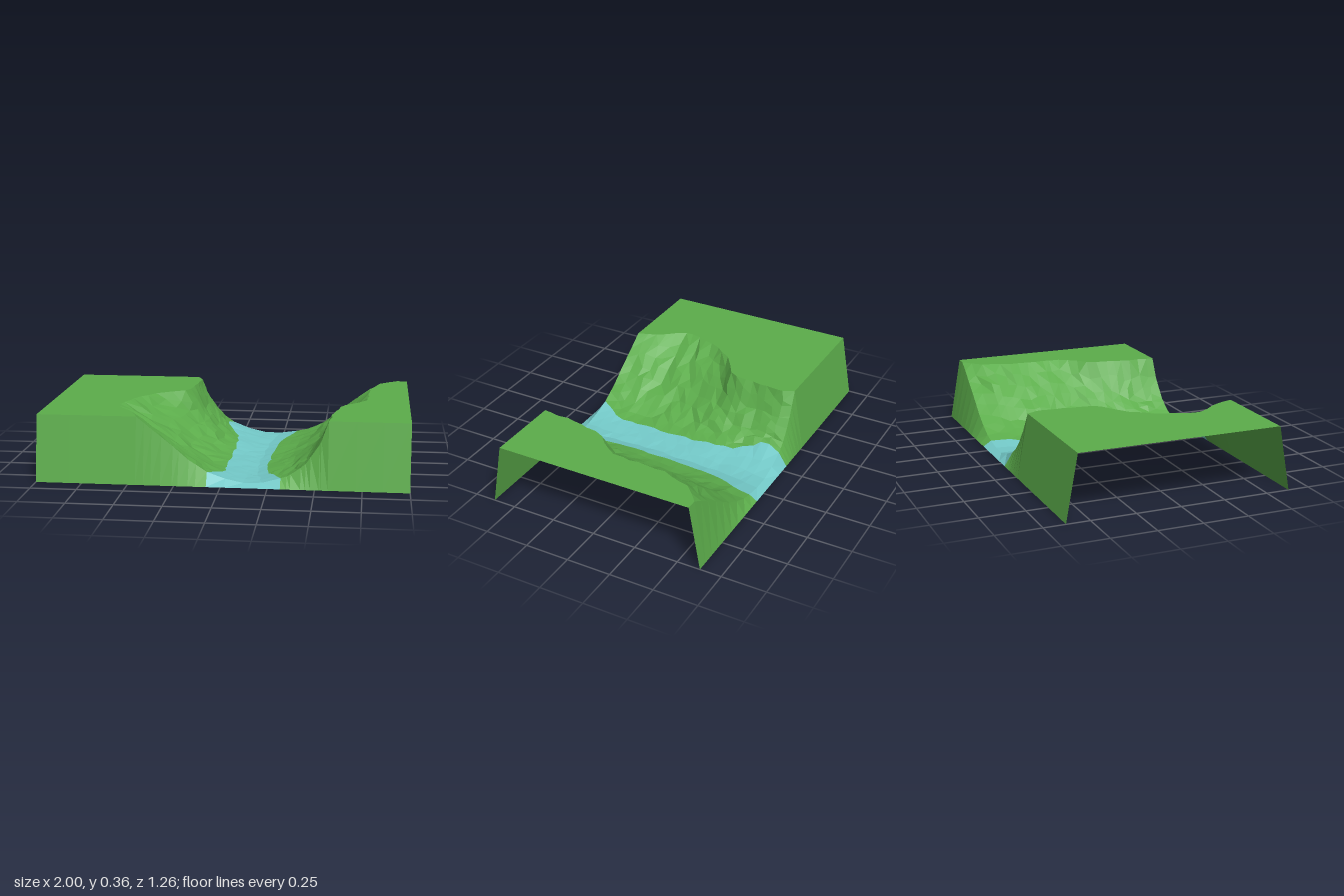
import * as THREE from 'three';

const TOP = 0.36, EDGE_Z = 0.63, END_Z = 0.565, BED_X = 0.17;

// Outlines seen from above, as [z, x] points
const leftRim = [[-0.57, -0.27], [-0.53, -0.25], [-0.45, -0.25], [-0.22, -0.26], [-0.12, -0.32], [-0.08, -0.42],
  [0.02, -0.51], [0.1, -0.56], [0.3, -0.61], [0.4, -0.53], [0.5, -0.48], [0.57, -0.46]];
const rightRim = [[-0.57, 0.94], [-0.54, 0.91], [-0.46, 0.83], [-0.3, 0.78], [-0.15, 0.77], [0, 0.77],
  [0.09, 0.7], [0.2, 0.62], [0.38, 0.58], [0.57, 0.575]];
const leftShore = [[-0.57, -0.05], [-0.5, -0.08], [-0.42, -0.06], [-0.32, 0], [-0.1, 0.01], [0.2, 0], [0.45, 0], [0.57, -0.08]];
const rightShore = [[-0.57, 0.335], [-0.5, 0.32], [-0.35, 0.26], [-0.2, 0.235], [0.2, 0.22], [0.42, 0.24], [0.57, 0.32]];

// Bank profiles from river bed (0) to rim (1), for narrow and wide banks
const narrowBank = [[0, 0], [0.2, 0.06], [0.4, 0.13], [0.52, 0.19], [0.7, 0.36], [0.88, 0.67], [1, 1]];
const wideBank = [[0, 0], [0.2, 0.06], [0.34, 0.13], [0.46, 0.25], [0.58, 0.41], [0.75, 0.66], [1, 1]];

function at(line, z) {
  for (let i = 1; i < line.length; i++) {
    const [z0, x0] = line[i - 1], [z1, x1] = line[i];
    if (z <= z1) return x0 + (x1 - x0) * (z - z0) / (z1 - z0);
  }
  return line[line.length - 1][1];
}

function randomizer(seed) {
  return () => {
    seed = (seed * 16807) % 2147483647;
    return seed / 2147483647 * 2 - 1;
  };
}

function height(x, rim) {
  const wide = THREE.MathUtils.clamp((Math.abs(rim - BED_X) - 0.42) / 0.2, 0, 1);
  const d = THREE.MathUtils.clamp((x - BED_X) / (rim - BED_X), 0, 1);
  return 0.006 + (TOP - 0.006) * THREE.MathUtils.lerp(at(narrowBank, d), at(wideBank, d), wide);
}

const FLAT = 3, WALL = 8, WATER = 4;
const SHORE_L = FLAT + WALL, SHORE_R = SHORE_L + WATER, LAST = SHORE_R + WALL + FLAT;

// One cross-section of the land from left edge to right edge
function section(z, end, rnd) {
  const rl = at(leftRim, z), rr = at(rightRim, z), sl = at(leftShore, z), sr = at(rightShore, z);
  const stops = [[0, -1], [FLAT, rl], [SHORE_L, sl], [SHORE_R, sr], [LAST - FLAT, rr], [LAST, 1]];
  const row = [];
  for (let c = 0; c <= LAST; c++) {
    let x = at(stops, c), y = TOP, pz = z;
    const wall = (c > FLAT && c < SHORE_L) || (c > SHORE_R && c < LAST - FLAT);
    const rim = c === FLAT || c === LAST - FLAT;
    const water = c >= SHORE_L && c <= SHORE_R;
    if (wall) x += rnd() * 0.012;
    if (rim || (water && !end)) x += rnd() * 0.007;
    if (wall || water) y = height(x, x < BED_X ? rl : rr);
    if (wall) y = Math.min(TOP, Math.max(0.012, y + rnd() * (end ? 0.003 : 0.012) * Math.min(1, y / 0.1)));
    if (water) y += Math.abs(rnd()) * 0.004;
    // End walls keep a gentle slope down to the river mouth
    if (end) pz = Math.sign(z) * (EDGE_Z - 0.045 - 0.02 * y / TOP);
    else if (wall || rim || water) pz += rnd() * 0.011;
    row.push(new THREE.Vector3(x, y, pz));
  }
  return row;
}

function makeLand() {
  const rnd = randomizer(4271), rows = [], n = 22;
  for (let r = 0; r <= n; r++) {
    const z = END_Z * (2 * r / n - 1);
    rows.push(section(z, r === 0 || r === n, rnd));
  }
  // Foot of the sloping back and front walls
  const foot = (row, z) => row.map((p) => new THREE.Vector3(p.x, 0, z));
  rows.unshift(foot(rows[0], -EDGE_Z));
  rows.push(foot(rows[rows.length - 1], EDGE_Z));
  return rows;
}

// Faceted surface from a range of columns
function strip(rows, from, to, material, name) {
  const pos = [];
  const tri = (...pts) => pts.forEach((p) => pos.push(p.x, p.y, p.z));
  for (let r = 0; r < rows.length - 1; r++) {
    for (let c = from; c < to; c++) {
      const a = rows[r][c], b = rows[r + 1][c], d = rows[r][c + 1], e = rows[r + 1][c + 1];
      // Split each cell along the diagonal that bends least
      if (Math.abs(a.y - e.y) < Math.abs(b.y - d.y)) { tri(a, b, e); tri(a, e, d); }
      else { tri(a, b, d); tri(b, e, d); }
    }
  }
  const geometry = new THREE.BufferGeometry();
  geometry.setAttribute('position', new THREE.Float32BufferAttribute(pos, 3));
  geometry.computeVertexNormals();
  const mesh = new THREE.Mesh(geometry, material);
  mesh.name = name;
  return mesh;
}

export function createModel() {
  const grass = new THREE.MeshStandardMaterial({ color: 0x5cad4b, side: THREE.DoubleSide });
  grass.name = 'grass green';
  const water = new THREE.MeshStandardMaterial({ color: 0x73c9c8, side: THREE.DoubleSide });
  water.name = 'water blue';

  const rows = makeLand();
  const model = new THREE.Group();
  model.name = 'riverValley';
  model.add(
    strip(rows, 0, SHORE_L, grass, 'rightBank'),
    strip(rows, SHORE_L, SHORE_R, water, 'river'),
    strip(rows, SHORE_R, LAST, grass, 'leftBank'),
  );
  return model;
}
